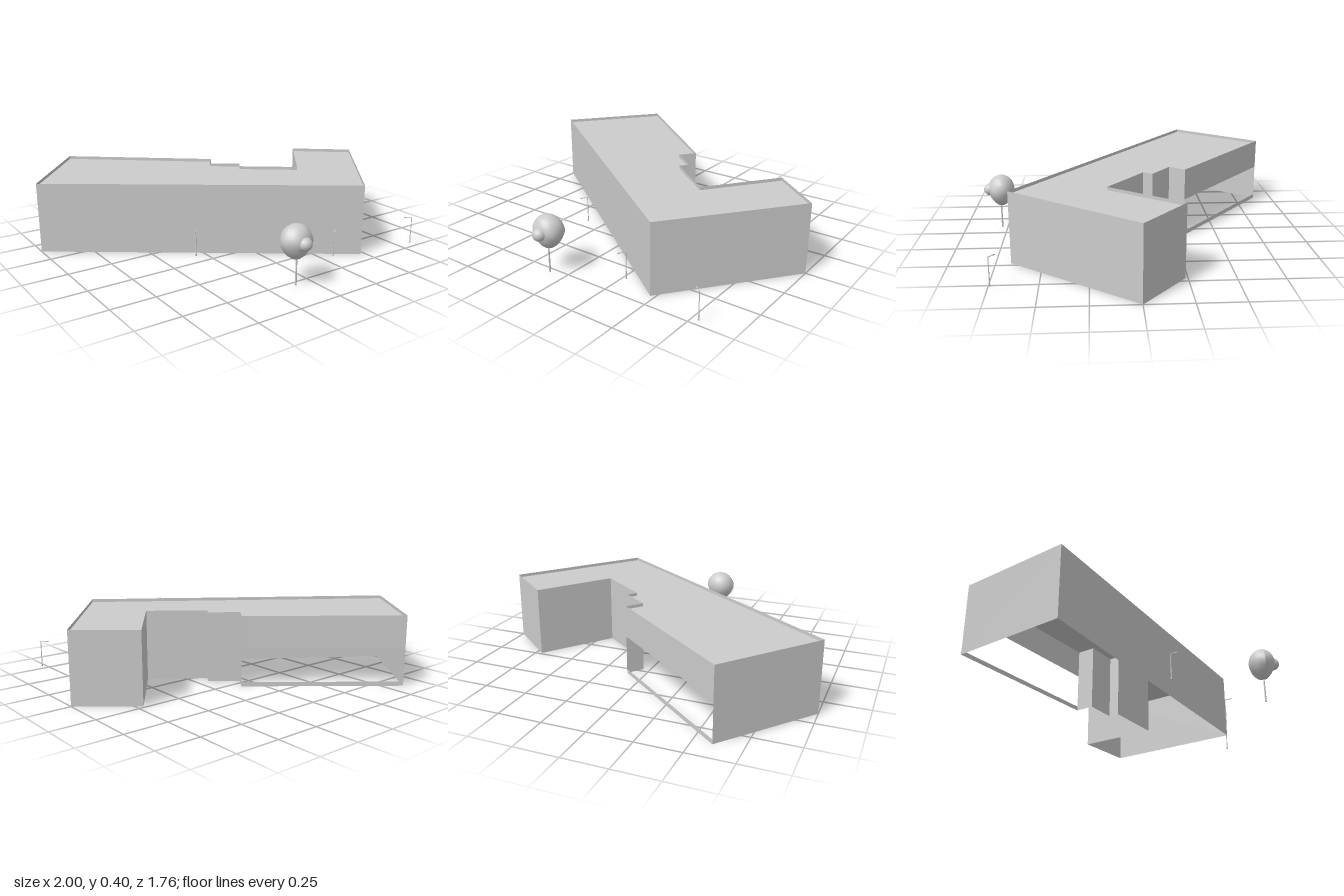
import * as THREE from 'three';

const grey = new THREE.MeshStandardMaterial({ color: 0xcccccc, side: THREE.DoubleSide });
const faceted = new THREE.MeshStandardMaterial({ color: 0xcccccc, side: THREE.DoubleSide, flatShading: true });

const HEIGHT = 0.403, ROOF = 0.385;
// Building outline as [x, z]; the first edge is the wall with the long opening
const OUTLINE = [
  [-0.6, -0.88], [0.105, -0.305], [0.04, -0.22], [0.185, -0.11], [0.15, -0.06],
  [0.425, 0.15], [0.715, -0.237], [1, 0], [0.474, 0.668], [-1, -0.39],
];

function add(parent, name, geometry, material = grey) {
  const mesh = new THREE.Mesh(geometry, material);
  mesh.name = name;
  parent.add(mesh);
  return mesh;
}

// Thin upright wall panel between two plan points
function wall(parent, name, a, b, y0, y1) {
  const dx = b[0] - a[0], dz = b[1] - a[1];
  const mesh = add(parent, name, new THREE.PlaneGeometry(Math.hypot(dx, dz), y1 - y0));
  mesh.position.set((a[0] + b[0]) / 2, (y0 + y1) / 2, (a[1] + b[1]) / 2);
  mesh.rotation.y = Math.atan2(dz, -dx);
}

function createBuilding() {
  const building = new THREE.Group();
  building.name = 'building';
  OUTLINE.forEach((a, i) => {
    const b = OUTLINE[(i + 1) % OUTLINE.length];
    if (i === 0) {
      wall(building, 'openingSill', a, b, 0, 0.025);
      wall(building, 'openingUpperWall', a, b, 0.222, HEIGHT);
    } else wall(building, 'wall', a, b, 0, HEIGHT);
  });
  // Flat roof set a little below the parapet; the underside is left open
  const shape = new THREE.Shape(OUTLINE.map(([x, z]) => new THREE.Vector2(x, -z)));
  const roof = add(building, 'roof', new THREE.ShapeGeometry(shape).rotateX(-Math.PI / 2));
  roof.position.y = ROOF;
  return building;
}

function createTree() {
  const tree = new THREE.Group();
  tree.name = 'tree';
  const trunk = add(tree, 'trunk', new THREE.CylinderGeometry(0.004, 0.005, 0.17, 8));
  trunk.position.y = 0.085;

  // Lumpy crown narrowing to the trunk
  const crown = new THREE.SphereGeometry(1, 20, 14);
  const p = crown.attributes.position;
  for (let i = 0; i < p.count; i++) {
    const x = p.getX(i), y = p.getY(i), z = p.getZ(i);
    const taper = y < 0 ? 1 + 0.22 * y : 1 + 0.05 * y;
    const lump = 1 + 0.04 * Math.sin(5 * x + 2 * y) * Math.cos(4 * z - 3 * y);
    p.setXYZ(i, x * 0.088 * taper * lump, y * 0.094, z * 0.077 * taper * lump);
  }
  crown.computeVertexNormals();
  add(tree, 'crown', crown).position.set(0, 0.236, -0.006);

  // Small clump of leaves on the front
  const clump = add(tree, 'leafClump', new THREE.SphereGeometry(0.038, 14, 10));
  clump.scale.y = 0.95;
  clump.position.set(0, 0.242, 0.06);
  tree.position.set(-0.1, 0, 0.782);
  return tree;
}

// Street lamp with a short arm pointing by (dx, dz)
function createLamp(x, z, dx, dz) {
  const lamp = new THREE.Group();
  lamp.name = 'streetLamp';
  const base = add(lamp, 'lampBase', new THREE.CylinderGeometry(0.004, 0.005, 0.012, 8), faceted);
  base.position.y = 0.026;
  const pole = add(lamp, 'lampPole', new THREE.CylinderGeometry(0.0022, 0.003, 0.155, 8), faceted);
  pole.position.y = 0.0975;
  const length = Math.hypot(dx, dz);
  const arm = add(lamp, 'lampArm', new THREE.BoxGeometry(length, 0.003, 0.003), faceted);
  arm.position.set(length / 2, 0.174, 0);
  const head = add(lamp, 'lampHead', new THREE.BoxGeometry(0.016, 0.004, 0.006), faceted);
  head.position.set(length - 0.008, 0.173, 0);
  lamp.position.set(x, 0, z);
  lamp.rotation.y = Math.atan2(-dz, dx);
  return lamp;
}

export function createModel() {
  const model = new THREE.Group();
  model.name = 'buildingWithTreeAndLamps';
  model.add(createBuilding(), createTree());
  model.add(createLamp(-0.334, 0.205, -0.026, 0.036));
  model.add(createLamp(0.294, 0.63, -0.026, 0.036));
  model.add(createLamp(0.802, 0.735, -0.036, -0.027));
  return model;
}
